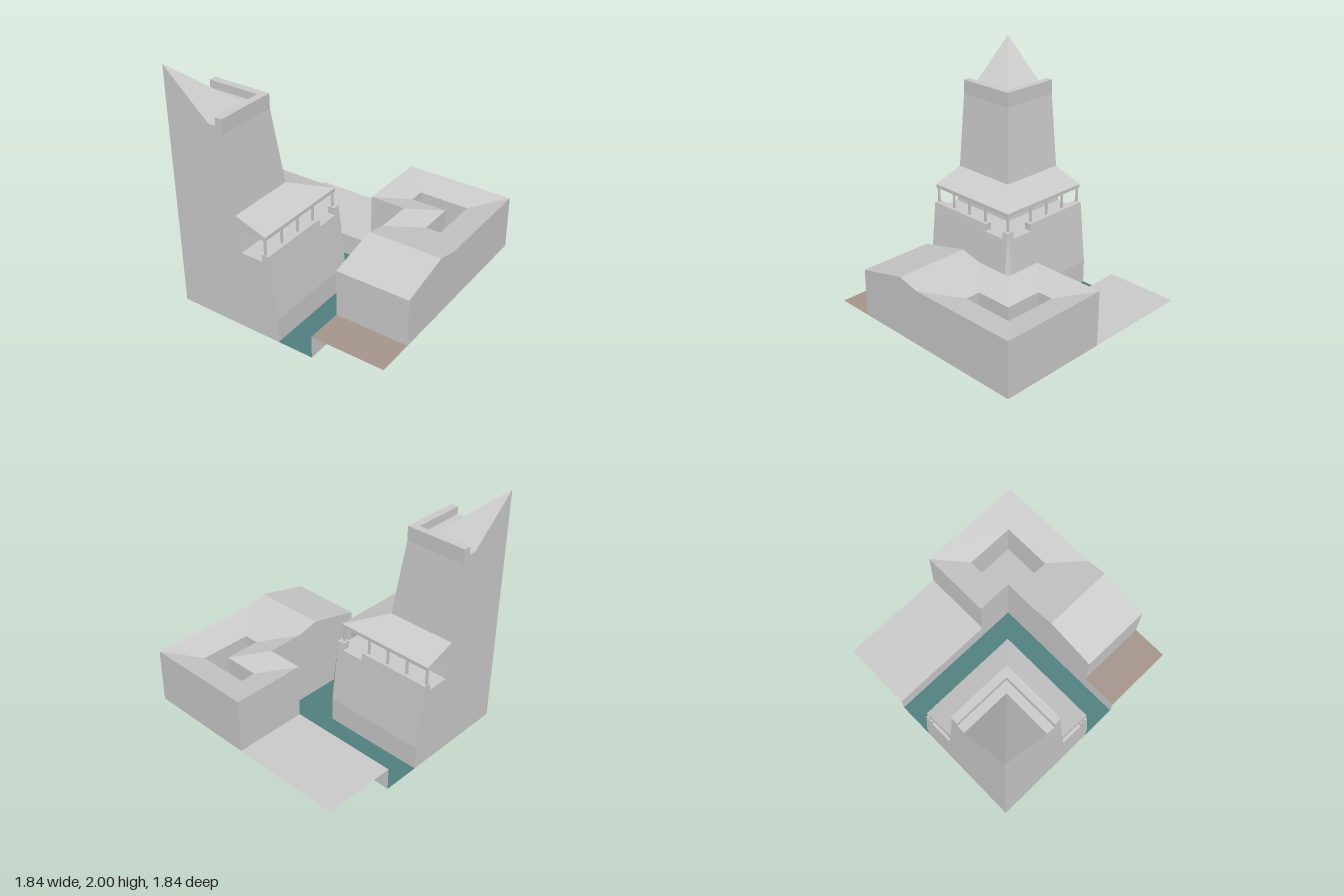
import * as THREE from 'three';

const GREY = 0xcccccc;
const E = 0.92; // half width of the whole block
const material = (color = GREY, side = THREE.FrontSide) =>
  new THREE.MeshStandardMaterial({ color, side, flatShading: true });

function named(name, geometry, mat = material()) {
  const mesh = new THREE.Mesh(geometry, mat);
  mesh.name = name;
  return mesh;
}

// Flat-shaded geometry from polygons (corners counter-clockwise from outside)
function facesGeometry(faces) {
  const out = [];
  for (const f of faces) {
    for (let i = 1; i < f.length - 1; i++) {
      const t = new THREE.Triangle(f[0], f[i], f[i + 1]);
      if (t.getArea() > 1e-7) for (const p of [t.a, t.b, t.c]) out.push(p.x, p.y, p.z);
    }
  }
  const g = new THREE.BufferGeometry();
  g.setAttribute('position', new THREE.Float32BufferAttribute(out, 3));
  g.computeVertexNormals();
  return g;
}

const V = (x, y, z) => new THREE.Vector3(x, y, z);

// Sweep an [inset, height] profile round the keep's corner, ending at the two
// cut planes x = -end and z = end; the foot of the corner is chamfered.
function cornerSweep(profile, end) {
  const chamfer = 0.06;
  const rings = profile.map(([r, y]) => {
    const c = Math.max(r, chamfer);
    return [V(-r, y, end), V(-r, y, c), V(-c, y, r), V(-end, y, r)];
  });
  const faces = [];
  for (let i = 0; i < rings.length - 1; i++) {
    for (let k = 0; k < 3; k++) {
      faces.push([rings[i][k], rings[i][k + 1], rings[i + 1][k + 1], rings[i + 1][k]]);
    }
  }
  const contour = profile.map(([r, y]) => new THREE.Vector2(-r, y));
  for (const [a, b, c] of THREE.ShapeUtils.triangulateShape(contour, [])) {
    faces.push([rings[a][0], rings[b][0], rings[c][0]]);
    faces.push([rings[c][3], rings[b][3], rings[a][3]]);
  }
  return facesGeometry(faces);
}

function extrude(points, depth) {
  const shape = new THREE.Shape(points.map(([x, y]) => new THREE.Vector2(x, y)));
  return new THREE.ExtrudeGeometry(shape, { depth, bevelEnabled: false });
}

function flat(name, points, y, color) {
  const shape = new THREE.Shape(points.map(([x, z]) => new THREE.Vector2(x, -z)));
  const g = new THREE.ShapeGeometry(shape).rotateX(-Math.PI / 2).translate(0, y, 0);
  return named(name, g, material(color, THREE.DoubleSide));
}

function createKeep() {
  const keep = new THREE.Group();
  keep.name = 'keep';

  // Battered wall, open gallery, skirt roof, upper tower, gutter and hipped top
  keep.add(named('keepBody', cornerSweep([
    [0, 0], [0, 0.2], [0.053, 0.675], [0.31, 0.675], [0.33, 0.86], [0.08, 0.86],
    [0.08, 0.89], [0.345, 0.98], [0.41, 1.6], [0.41, 1.72], [0.47, 1.72],
    [0.47, 1.655], [0.535, 1.655], [E, 2], [E, 0],
  ], E)));

  // Gallery parapet: a corner block and two long runs, with gaps between
  const parapet = [[0.053, 0.675], [0.06, 0.735], [0.12, 0.735], [0.12, 0.675]];
  keep.add(named('parapetCorner', cornerSweep(parapet, 0.12)));
  const gap = 0.31;
  const sideRun = extrude(parapet.map(([r, y]) => [-r, y]), E - gap).translate(0, 0, gap);
  const backRun = extrude(parapet, E - gap).translate(0, 0, gap).rotateY(-Math.PI / 2);
  keep.add(named('parapetSide', sideRun), named('parapetBack', backRun));

  // Slim posts carrying the skirt roof
  const post = new THREE.BoxGeometry(0.016, 0.125, 0.016);
  const line = 0.095;
  const addPost = (x, z) => {
    const mesh = named('galleryPost', post);
    mesh.position.set(x, 0.7975, z);
    keep.add(mesh);
  };
  addPost(-line, line);
  for (const s of [0.35, 0.535, 0.72, 0.907]) {
    addPost(-line, s);
    addPost(-s, line);
  }
  return keep;
}

function createCourtHouse() {
  const house = new THREE.Group();
  house.name = 'courtHouse';
  const base = 0.19, eave = 0.645, rim = 0.585;

  // L-shaped ring with a roof falling inward to a small L-shaped court
  const outer = [[0, -E], [E, -E], [E, 0], [0.305, 0], [0.305, -0.31], [0, -0.31]];
  const inner = [[0.24, -0.68], [0.67, -0.68], [0.67, -0.25], [0.545, -0.25], [0.545, -0.55], [0.24, -0.55]];
  const at = (p, y) => V(p[0], y, p[1]);
  const roof = [], walls = [], court = [];
  outer.forEach((o, i) => {
    const j = (i + 1) % outer.length;
    const o2 = outer[j], n = inner[i], n2 = inner[j];
    roof.push([at(o, eave), at(n, rim), at(n2, rim), at(o2, eave)]);
    court.push([at(n, base), at(n2, base), at(n2, rim), at(n, rim)]);
    if (i !== 2) walls.push([at(o2, base), at(o, base), at(o, eave), at(o2, eave)]);
  });
  house.add(named('courtRoof', facesGeometry(roof)));
  house.add(named('courtWalls', facesGeometry(court)));
  house.add(named('outerWalls', facesGeometry(walls)));

  // Front wing with a low ridge
  const wing = extrude([[0, base], [0.61, base], [0.61, rim], [0.18, 0.69], [0, eave]], E - 0.305)
    .rotateY(-Math.PI / 2).translate(E, 0, 0);
  house.add(named('frontWing', wing));
  return house;
}

function createSite() {
  const site = new THREE.Group();
  site.name = 'site';
  const bank = 0.305, back = -0.31, level = 0.19;

  site.add(flat('moatWater', [[-E, E], [bank, E], [bank, back], [-E, back]], 0, 0x508080));
  site.add(flat('ground', [[-E, back], [bank, back], [bank, 0.61], [E, 0.61], [E, -E], [-E, -E]], level, GREY));
  site.add(flat('forecourt', [[bank, E], [E, E], [E, 0.61], [bank, 0.61]], level, 0xa5968d));

  // Moat banks
  const sheet = material(GREY, THREE.DoubleSide);
  const backBank = new THREE.PlaneGeometry(E + bank, level).translate((bank - E) / 2, level / 2, back);
  const sideBank = new THREE.PlaneGeometry(E - back, level).rotateY(-Math.PI / 2)
    .translate(bank, level / 2, (E + back) / 2);
  site.add(named('backBank', backBank, sheet), named('sideBank', sideBank, sheet));
  return site;
}

export function createModel() {
  const model = new THREE.Group();
  model.name = 'moatedKeep';
  model.add(createSite(), createKeep(), createCourtHouse());
  return model;
}
